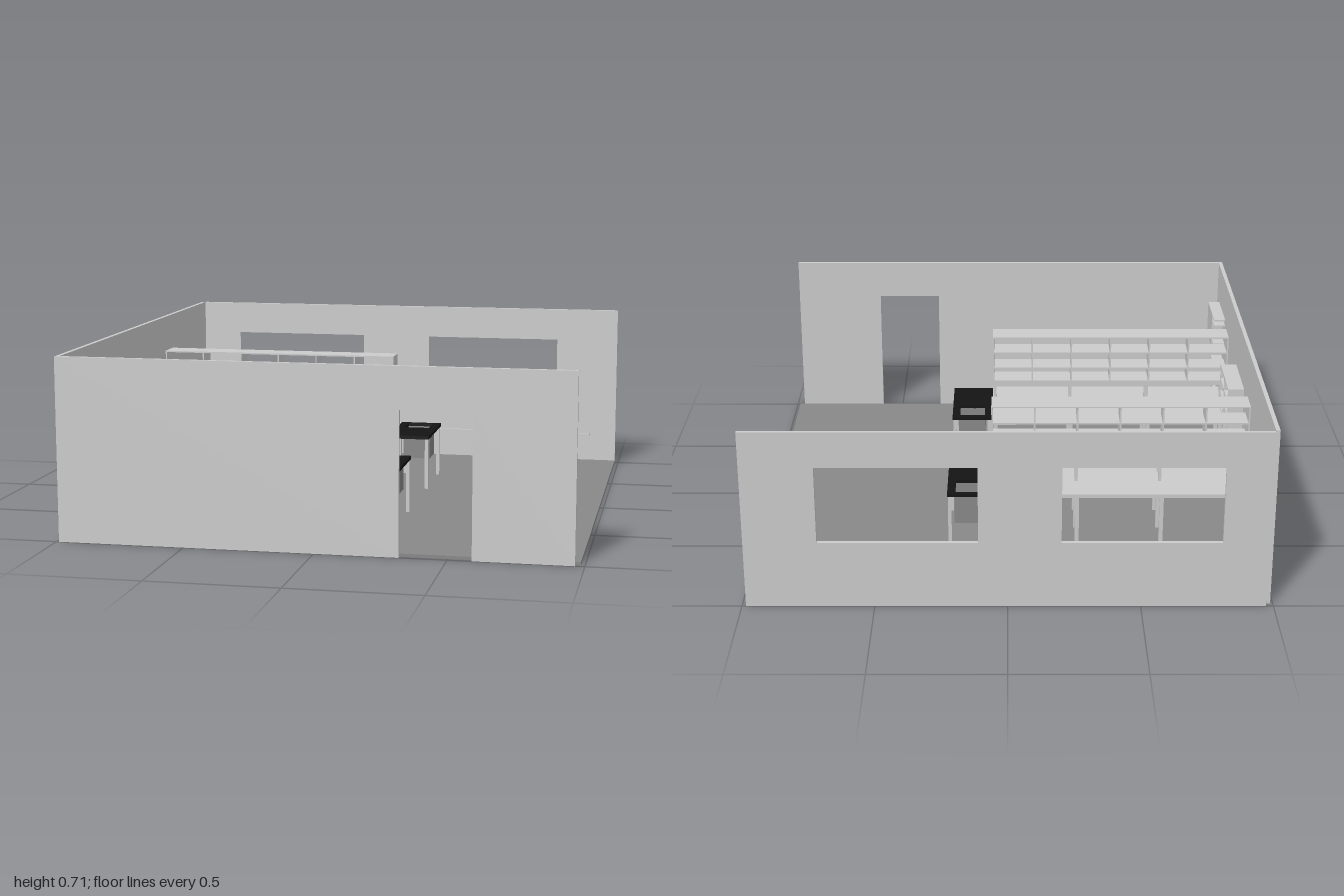
import * as THREE from 'three';

const grey = new THREE.MeshStandardMaterial({ color: 0xcccccc });
const floorGrey = new THREE.MeshStandardMaterial({ color: 0x888888 });
const black = new THREE.MeshStandardMaterial({ color: 0x141414 });

// Box given by its limits on each axis
function box(parent, name, [x0, x1], [y0, y1], [z0, z1], material = grey) {
  const mesh = new THREE.Mesh(new THREE.BoxGeometry(x1 - x0, y1 - y0, z1 - z0), material);
  mesh.position.set((x0 + x1) / 2, (y0 + y1) / 2, (z0 + z1) / 2);
  mesh.name = name;
  parent.add(mesh);
  return mesh;
}

function group(parent, name) {
  const g = new THREE.Group();
  g.name = name;
  parent.add(g);
  return g;
}

function rectangle(path, x0, x1, y0, y1) {
  path.moveTo(x0, y0);
  path.lineTo(x1, y0);
  path.lineTo(x1, y1);
  path.lineTo(x0, y1);
  path.closePath();
  return path;
}

function wall(parent, name, shape, z, depth) {
  const mesh = new THREE.Mesh(new THREE.ExtrudeGeometry(shape, { depth, bevelEnabled: false }), grey);
  mesh.position.z = z;
  mesh.name = name;
  parent.add(mesh);
}

// Open rack: horizontal boards and upright dividers, running along x or z
function rack(parent, name, xs, ys, zs, columns, rows, axis, t = 0.006) {
  const g = group(parent, name);
  for (let i = 0; i <= rows; i++) {
    const y = ys[0] + (ys[1] - ys[0] - t) * i / rows;
    box(g, 'shelfBoard', xs, [y, y + t], zs);
  }
  const run = axis === 'x' ? xs : zs;
  for (let i = 0; i <= columns; i++) {
    const p = run[0] + (run[1] - run[0] - t) * i / columns;
    const span = [p, p + t];
    box(g, 'divider', axis === 'x' ? span : xs, ys, axis === 'x' ? zs : span);
  }
  return g;
}

// Laboratory bench with a raised rack, drawers and a sink table at its end
function bench(parent, name, z, drawerBase) {
  const g = group(parent, name);
  box(g, 'benchTop', [-0.96, 0.065], [0.228, 0.242], [z - 0.18, z + 0.182]);
  const stations = [-0.945, -0.61, -0.275, 0.055];
  for (const x of stations) {
    for (const dz of [-0.168, 0, 0.168])
      box(g, 'benchLeg', [x - 0.008, x + 0.008], [0.012, 0.228], [z + dz - 0.008, z + dz + 0.008]);
    for (const dz of [-0.046, 0.046])
      box(g, 'rackPost', [x - 0.006, x + 0.006], [0.242, 0.35], [z + dz - 0.005, z + dz + 0.005]);
  }

  // Raised rack, open on both long sides
  rack(g, 'benchRack', [-0.96, 0.065], [0.35, 0.565], [z - 0.053, z + 0.053], 6, 3, 'x');
  box(g, 'rackRail', [-0.96, 0.065], [0.345, 0.365], [z - 0.055, z + 0.055]);

  // Drawer unit
  box(g, 'drawerUnit', [-0.04, 0.045], [drawerBase, 0.228], [z + 0.062, z + 0.16]);
  const drawers = 4, step = (0.228 - drawerBase) / drawers;
  for (let i = 0; i < drawers; i++) {
    const y = drawerBase + i * step;
    box(g, 'drawerFront', [-0.04, 0.045], [y + 0.004, y + step - 0.004], [z + 0.16, z + 0.167]);
  }

  // Sink table: top with a cut-out, basin and corner legs
  const sx = [0.1, 0.208], sz = [z - 0.152, z - 0.04];
  const top = rectangle(new THREE.Shape(), 0.066, 0.24, -(z + 0.17), -(z - 0.17));
  top.holes.push(rectangle(new THREE.Path(), sx[0], sx[1], -sz[1], -sz[0]));
  const slab = new THREE.Mesh(new THREE.ExtrudeGeometry(top, { depth: 0.014, bevelEnabled: false }), black);
  slab.rotation.x = -Math.PI / 2;
  slab.position.y = 0.227;
  slab.name = 'sinkTableTop';
  g.add(slab);
  const basin = group(g, 'basin'), t = 0.004, by = [0.105, 0.228];
  box(basin, 'basinBottom', sx, [0.105, 0.109], sz, floorGrey);
  for (const x of [sx[0] - t, sx[1]]) box(basin, 'basinSide', [x, x + t], by, sz, floorGrey);
  for (const zz of [sz[0] - t, sz[1]]) box(basin, 'basinEnd', [sx[0] - t, sx[1] + t], by, [zz, zz + t], floorGrey);
  for (const x of [0.082, 0.23])
    for (const dz of [-0.16, 0.16])
      box(g, 'sinkTableLeg', [x - 0.007, x + 0.007], [0.012, 0.227], [z + dz - 0.007, z + dz + 0.007]);
}

export function createModel() {
  const model = new THREE.Group();
  model.name = 'laboratoryRoom';
  const H = 0.71;

  box(model, 'floor', [-0.975, 0.985], [0, 0.012], [-0.985, 0.982], floorGrey);

  // Front wall with a doorway down to the ground
  const front = new THREE.Shape();
  [[-0.99, 0], [0.32, 0], [0.32, 0.55], [0.59, 0.55], [0.59, 0], [0.965, 0], [0.965, H], [-0.99, H]]
    .forEach(([x, y], i) => (i ? front.lineTo(x, y) : front.moveTo(x, y)));
  front.closePath();
  wall(model, 'frontWall', front, 0.982, 0.018);

  // Back wall with two windows
  const back = rectangle(new THREE.Shape(), -0.972, 0.985, 0, H);
  for (const x of [-0.8, 0.11]) back.holes.push(rectangle(new THREE.Path(), x, x + 0.6, 0.265, 0.57));
  wall(model, 'backWall', back, -1, 0.017);

  box(model, 'sideWall', [-0.99, -0.974], [0, H], [-0.982, 0.982]);

  // Wall rails
  box(model, 'sideRail', [-0.974, -0.96], [0.11, 0.137], [-0.97, 0.982]);
  box(model, 'backRail', [-0.974, 0.868], [0.11, 0.137], [-0.983, -0.97]);

  bench(model, 'frontBench', 0.438, 0.105);
  bench(model, 'backBench', -0.35, 0.03);

  // Wall-hung shelves and cupboard
  rack(model, 'wallShelf', [-0.974, -0.908], [0.328, 0.51], [-0.083, 0.203], 2, 3, 'z');
  box(model, 'wallCupboard', [-0.974, -0.924], [0.4, 0.55], [0.735, 0.9]);
  const side = group(model, 'openSideShelf');
  box(side, 'sidePanel', [-0.974, -0.924], [0.262, 0.55], [0.729, 0.735]);
  for (const y of [0.262, 0.348, 0.435, 0.52, 0.545])
    box(side, 'sideShelfBoard', [-0.974, -0.924], [y, y + 0.005], [0.65, 0.729]);

  return model;
}
